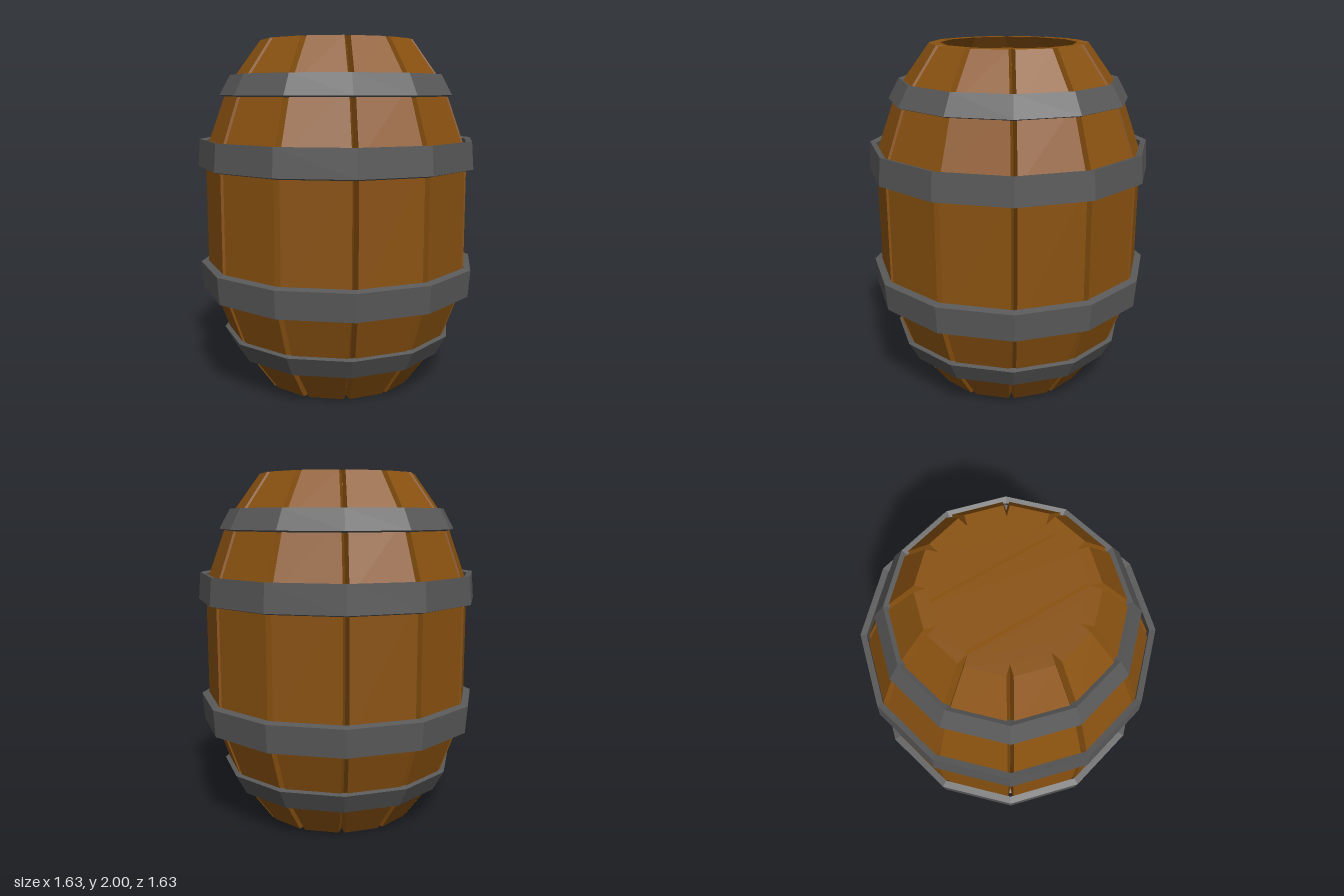
import * as THREE from 'three';

const SIDES = 12;
const HALF = Math.PI / SIDES;
const THICK = 0.064;

// Flat facets through split vertices
function facet(geometry) {
  const g = geometry.index ? geometry.toNonIndexed() : geometry;
  g.computeVertexNormals();
  return g;
}

// One bent plank: a box whose rows follow the barrel's [height, corner radius] profile
function staveGeometry() {
  const profile = [[0, 0.45], [0.26, 0.64], [0.63, 0.774], [1.37, 0.774], [1.74, 0.64], [2, 0.45]];
  const g = new THREE.BoxGeometry(1, 1, 1, 1, profile.length - 1, 1);
  const p = g.attributes.position;
  for (let i = 0; i < p.count; i++) {
    const row = Math.round((p.getY(i) + 0.5) * (profile.length - 1));
    const [y, radius] = profile[row];
    const outer = radius * Math.cos(HALF);
    const inner = outer - THICK;
    // Constant width through the thickness leaves V-shaped gaps outside
    const halfWidth = inner * Math.tan(HALF);
    p.setXYZ(i, Math.sign(p.getX(i)) * halfWidth, y, p.getZ(i) > 0 ? outer : inner);
  }
  return facet(g);
}

// Closed band turned around the barrel; section runs counterclockwise as [radius, height]
function hoopGeometry(section, flip) {
  let pts = section.map(([r, y]) => new THREE.Vector2(r, flip ? 2 - y : y));
  if (flip) pts.reverse();
  pts = [...pts, pts[0].clone()];
  return facet(new THREE.LatheGeometry(pts, SIDES));
}

// Three bevelled boards filling a twelve-sided end
function lidBoards() {
  const R = 0.45, seam = 0.16;
  const x = R - seam * Math.tan(HALF);
  const c = R * Math.cos(Math.PI / 6);
  const middle = [[R, 0], [x, seam], [-x, seam], [-R, 0], [-x, -seam], [x, -seam]];
  const side = [[x, seam], [c, R / 2], [R / 2, c], [0, R], [-R / 2, c], [-c, R / 2], [-x, seam]];
  const other = side.map(([a, b]) => [-a, -b]);
  return [side, middle, other].map((outline) => {
    const shape = new THREE.Shape(outline.map(([a, b]) => new THREE.Vector2(a, b)));
    const g = new THREE.ExtrudeGeometry(shape, {
      depth: 0.005, bevelEnabled: true, bevelThickness: 0.03,
      bevelSize: 0.01, bevelOffset: -0.01, bevelSegments: 1,
    });
    g.rotateX(-Math.PI / 2);
    return facet(g);
  });
}

export function createModel() {
  const wood = new THREE.MeshStandardMaterial({ color: 0x8a5210 });
  wood.name = 'wood';
  const iron = new THREE.MeshStandardMaterial({ color: 0x595959 });
  iron.name = 'iron';

  const barrel = new THREE.Group();
  barrel.name = 'barrel';
  const add = (parent, name, geometry, material) => {
    const mesh = new THREE.Mesh(geometry, material);
    mesh.name = name;
    parent.add(mesh);
    return mesh;
  };

  // Staves
  const staves = new THREE.Group();
  staves.name = 'staves';
  const stave = staveGeometry();
  for (let i = 0; i < SIDES; i++) {
    add(staves, 'stave', stave, wood).rotation.y = (2 * i + 1) * HALF;
  }
  barrel.add(staves);

  // Hoops, mirrored about mid height
  const wide = [[0.775, 1.275], [0.815, 1.285], [0.803, 1.44], [0.77, 1.432]];
  const narrow = [[0.655, 1.68], [0.685, 1.69], [0.622, 1.805], [0.59, 1.79]];
  for (const flip of [false, true]) {
    const place = flip ? 'lower' : 'upper';
    add(barrel, place + 'WideHoop', hoopGeometry(wide, flip), iron);
    add(barrel, place + 'EndHoop', hoopGeometry(narrow, flip), iron);
  }

  // Recessed ends
  const boards = lidBoards();
  for (const [name, y] of [['topLid', 1.895], ['bottomLid', 0.1]]) {
    const lid = new THREE.Group();
    lid.name = name;
    lid.position.y = y;
    boards.forEach((g) => add(lid, 'lidBoard', g, wood));
    barrel.add(lid);
  }
  return barrel;
}
